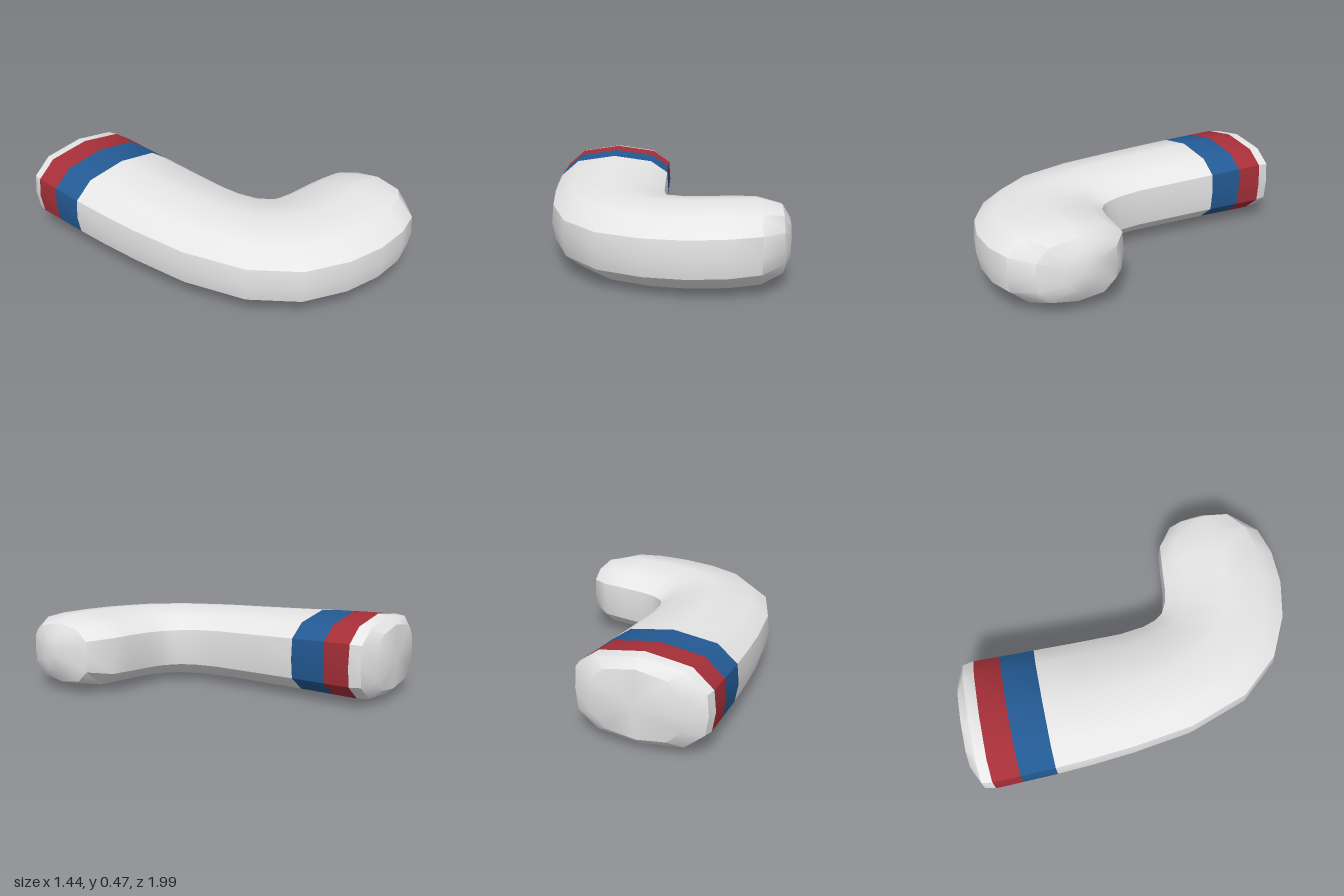
import * as THREE from 'three';
import { toCreasedNormals } from 'three/addons/utils/BufferGeometryUtils.js';

// Sock cross-section, counterclockwise: u runs outer (-1) to inner (+1), v runs bottom to top
const SECTION = [
  [0, 1], [-0.67, 0.84], [-0.97, 0.43], [-1, -0.05], [-0.95, -0.5], [-0.65, -0.88],
  [0, -1], [0.65, -0.88], [0.96, -0.5], [1, 0], [0.98, 0.52], [0.68, 0.85],
];

// Each station: outer x, outer z, inner x, inner z, bottom y, top y
const RED_START = [-0.722, -0.86, 0, -0.885, 0.01, 0.474];
const BLUE_START = [-0.712, -0.705, 0.003, -0.735, 0.01, 0.467];
const LEG_START = [-0.7, -0.51, 0.01, -0.54, 0.01, 0.457];

const CUFF = [
  [-0.36, -1, -0.36, -1, 0.24, 0.24],
  [-0.61, -0.975, -0.12, -0.992, 0.06, 0.425],
  [-0.712, -0.92, -0.015, -0.95, 0.018, 0.468],
  RED_START,
];

const FOOT = [
  LEG_START,
  [-0.68, -0.3, 0.018, -0.3, 0.008, 0.445],
  [-0.65, -0.06, 0.03, -0.03, 0.006, 0.433],
  [-0.59, 0.28, 0.055, 0.11, 0.004, 0.423],
  [-0.46, 0.62, 0.085, 0.185, 0.002, 0.417],
  [-0.26, 0.84, 0.12, 0.228, 0, 0.415],
  [-0.02, 0.95, 0.18, 0.258, 0.002, 0.418],
  [0.2, 0.99, 0.27, 0.275, 0.006, 0.423],
  [0.4, 0.98, 0.41, 0.285, 0.012, 0.43],
  [0.56, 0.93, 0.54, 0.297, 0.022, 0.43],
  [0.67, 0.815, 0.665, 0.385, 0.06, 0.403],
  [0.71, 0.69, 0.708, 0.5, 0.13, 0.335],
  [0.722, 0.59, 0.722, 0.59, 0.225, 0.225],
];

// Skin a row of stations into a tube
function loft(stations) {
  const pos = [], index = [], n = SECTION.length;
  stations.forEach(([ox, oz, ix, iz, y0, y1], j) => {
    SECTION.forEach(([u, v], i) => {
      const t = (u + 1) / 2;
      pos.push(ox + (ix - ox) * t, y0 + (y1 - y0) * (v + 1) / 2, oz + (iz - oz) * t);
      if (j === 0) return;
      const k = (i + 1) % n, a = (j - 1) * n, b = j * n;
      index.push(a + i, a + k, b + k, a + i, b + k, b + i);
    });
  });
  const geo = new THREE.BufferGeometry();
  geo.setAttribute('position', new THREE.Float32BufferAttribute(pos, 3));
  geo.setIndex(index);
  return toCreasedNormals(geo, 0.62);
}

export function createModel() {
  const mat = (name, color) => {
    const m = new THREE.MeshStandardMaterial({ color });
    m.name = name;
    return m;
  };
  const white = mat('white knit', 0xe6e6e6);
  const red = mat('red stripe', 0xa62f38);
  const blue = mat('blue stripe', 0x235a94);

  const group = new THREE.Group();
  group.name = 'sock';
  const add = (name, stations, material) => {
    const mesh = new THREE.Mesh(loft(stations), material);
    mesh.name = name;
    group.add(mesh);
  };

  add('cuffEnd', CUFF, white);
  add('redBand', [RED_START, BLUE_START], red);
  add('blueBand', [BLUE_START, LEG_START], blue);
  add('legAndFoot', FOOT, white);
  return group;
}
